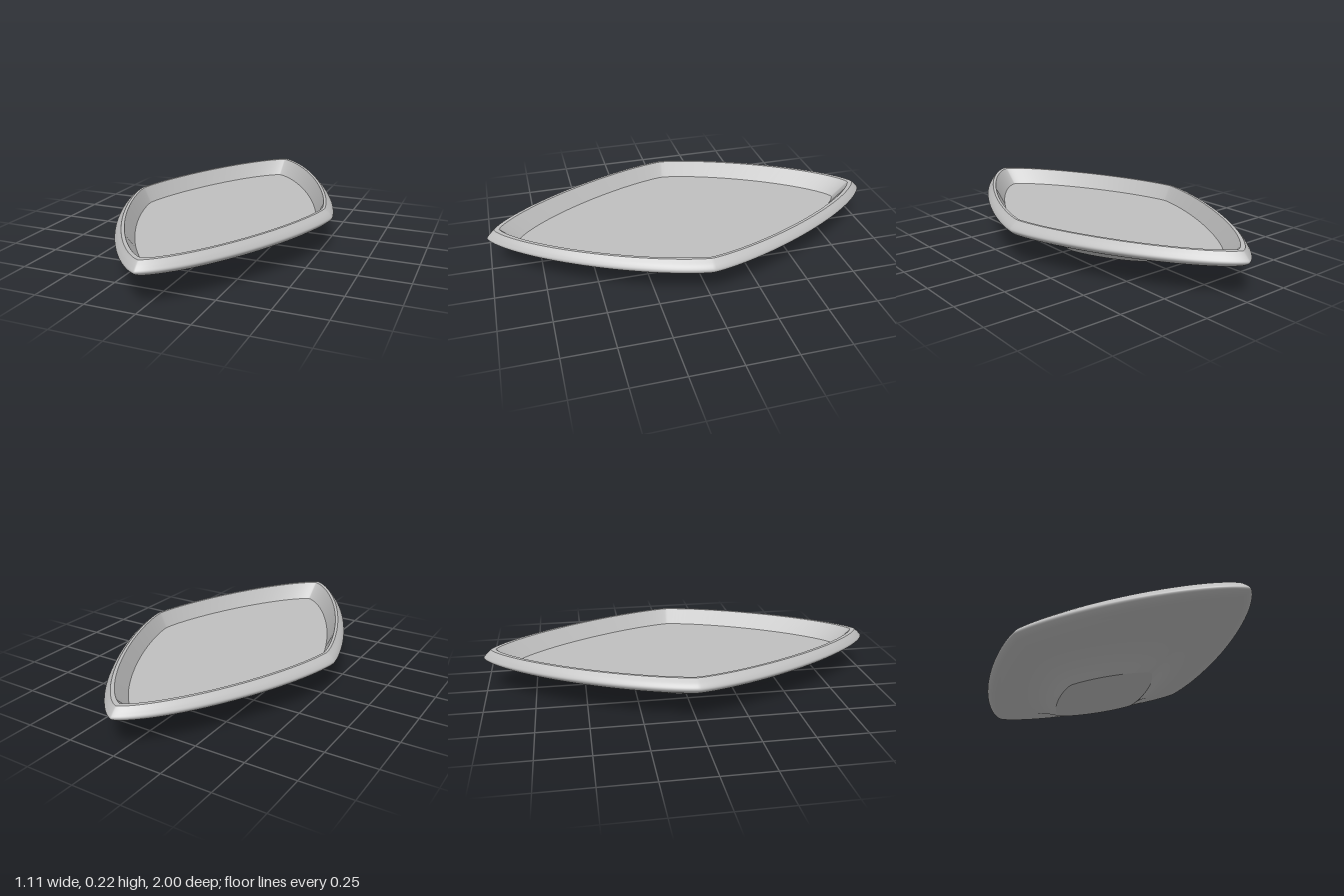
import * as THREE from 'three';

const SEGMENTS = 160;
const POWER = 1.34; // between a diamond (1) and an ellipse (2)

// Point on the rounded-diamond outline with half-width a and half-length b
function outline(a, b, t) {
  const bend = (v) => (Math.abs(v) < 1e-9 ? 0 : Math.sign(v) * Math.abs(v) ** (2 / POWER));
  return [a * bend(Math.cos(t)), b * bend(Math.sin(t))];
}

// Skin through rings given as [half-width, half-length, height]
function skin(rings) {
  const positions = [];
  const index = [];
  rings.forEach(([a, b, y], r) => {
    for (let i = 0; i < SEGMENTS; i++) {
      const [x, z] = outline(a, b, (i / SEGMENTS) * Math.PI * 2);
      positions.push(x, y, z);
      if (r === rings.length - 1) continue;
      const p = r * SEGMENTS + i;
      const q = r * SEGMENTS + ((i + 1) % SEGMENTS);
      index.push(p, p + SEGMENTS, q, q, p + SEGMENTS, q + SEGMENTS);
    }
  });
  const geometry = new THREE.BufferGeometry();
  geometry.setAttribute('position', new THREE.Float32BufferAttribute(positions, 3));
  geometry.setIndex(index);
  geometry.computeVertexNormals();
  return geometry;
}

export function createModel() {
  const group = new THREE.Group();
  group.name = 'dish';
  const grey = new THREE.MeshStandardMaterial({ color: 0xbfbfbf });
  grey.name = 'grey';

  const add = (name, rings) => {
    const mesh = new THREE.Mesh(skin(rings), grey);
    mesh.name = name;
    group.add(mesh);
  };

  // Flared outside, turning in at the lip
  const flare = new THREE.CatmullRomCurve3([
    [0.205, 0.37, 0], [0.265, 0.478, 0.045], [0.33, 0.595, 0.08], [0.41, 0.74, 0.11],
    [0.49, 0.882, 0.138], [0.54, 0.972, 0.161], [0.556, 1, 0.182], [0.546, 0.988, 0.2],
    [0.515, 0.962, 0.225],
  ].map((p) => new THREE.Vector3(...p)));
  add('outerShell', flare.getPoints(48).map((p) => p.toArray()));

  // Flat foot underneath
  add('foot', [[0, 0, 0], [0.205, 0.37, 0]]);

  // Narrow flat rim, sloping inner wall and flat floor
  add('rim', [[0.515, 0.962, 0.225], [0.502, 0.936, 0.225]]);
  add('innerWall', [[0.502, 0.936, 0.225], [0.465, 0.85, 0.145]]);
  add('floor', [[0.465, 0.85, 0.145], [0, 0, 0.145]]);

  return group;
}
